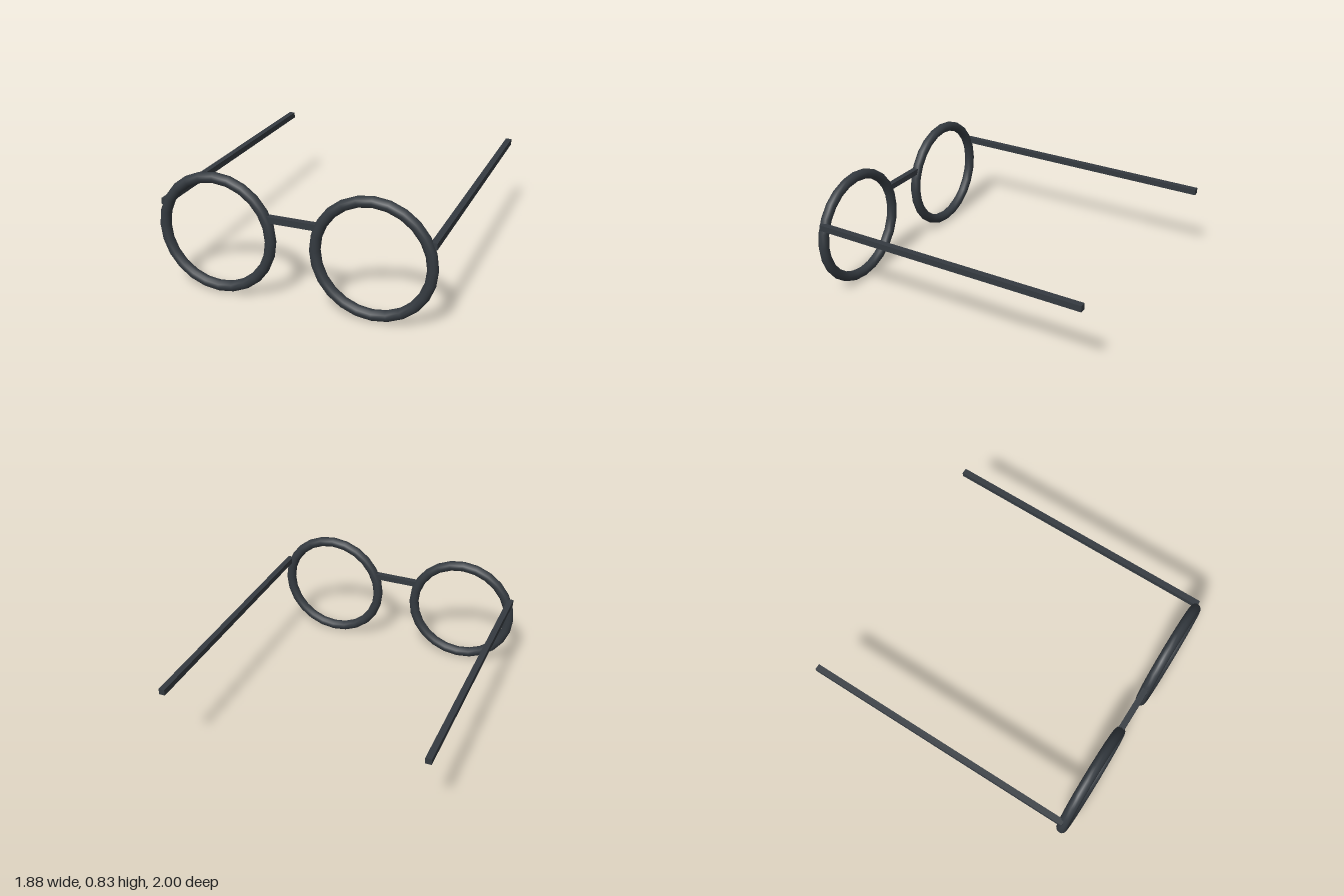
import * as THREE from 'three';

export function createModel() {
  const group = new THREE.Group();
  const frameMaterial = new THREE.MeshStandardMaterial({ color: 0x343a40 });
  frameMaterial.name = 'charcoal frame';

  const frontZ = 0.964, barY = 0.571, bar = 0.042;

  const add = (name, geometry, x, y, z) => {
    const mesh = new THREE.Mesh(geometry, frameMaterial);
    mesh.name = name;
    mesh.position.set(x, y, z);
    group.add(mesh);
  };

  // Round rims and straight temple arms, mirrored
  const rim = new THREE.TorusGeometry(0.377, 0.036, 12, 24);
  const armLength = 1 + frontZ;
  const arm = new THREE.BoxGeometry(bar, bar, armLength);
  for (const [side, s] of [['left', 1], ['right', -1]]) {
    add(side + 'Rim', rim, s * 0.527, 0.415, frontZ);
    add(side + 'Temple', arm, s * 0.904, barY, -1 + armLength / 2);
  }

  // Nose bridge, its ends buried in the rims
  add('bridge', new THREE.BoxGeometry(0.36, bar, bar), 0, barY, frontZ);

  return group;
}
